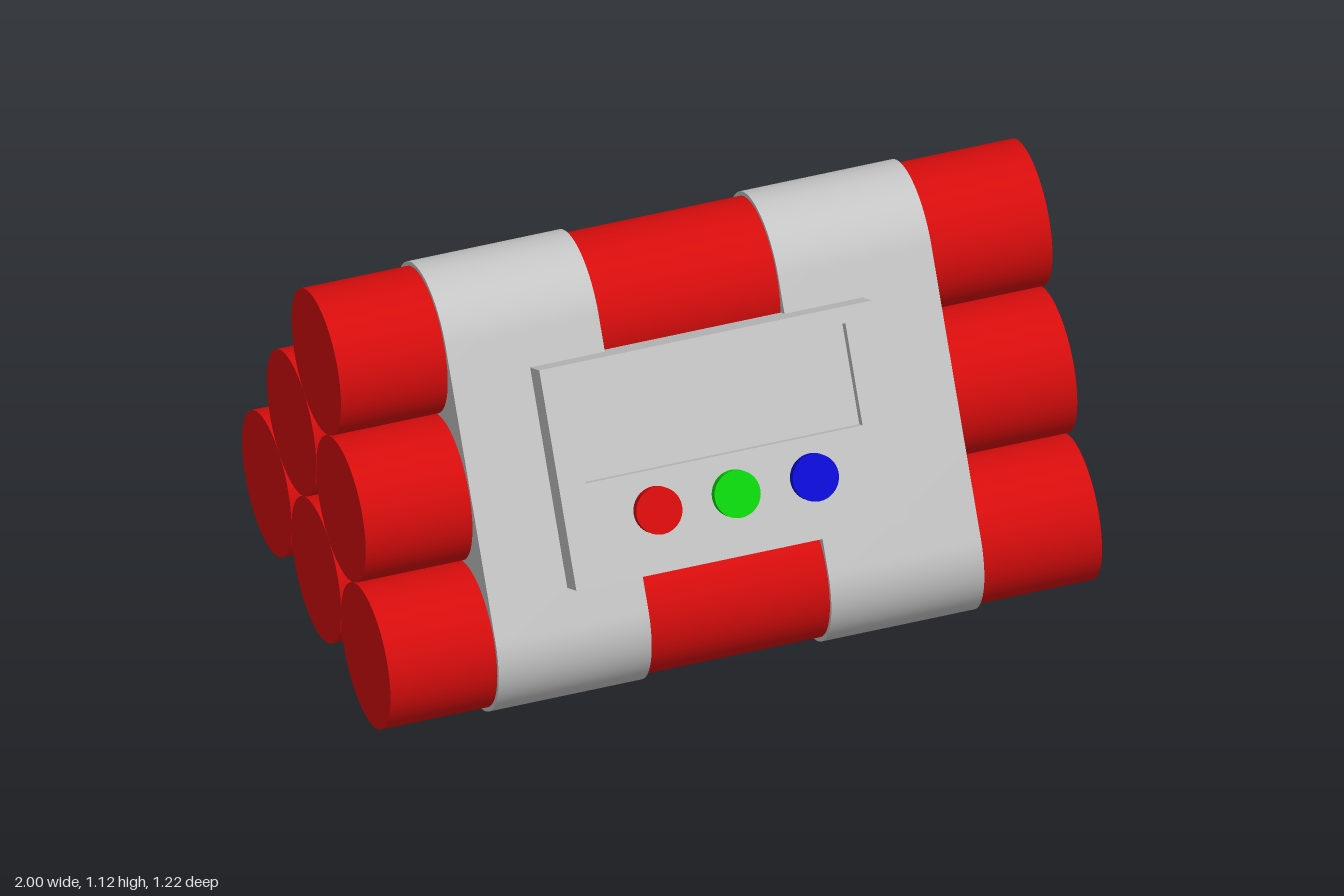
import * as THREE from 'three';
import { toCreasedNormals } from 'three/addons/utils/BufferGeometryUtils.js';

const RADIUS = 0.2;
const BASE_Y = 0.215;
const ROW = RADIUS * Math.sqrt(3);

const grey = new THREE.MeshStandardMaterial({ color: 0xcccccc });
const paint = (color) => new THREE.MeshStandardMaterial({ color });
const red = paint(0xdd0d0d);

function add(parent, name, geometry, material, x = 0, y = 0, z = 0) {
  const mesh = new THREE.Mesh(geometry, material);
  mesh.name = name;
  mesh.position.set(x, y, z);
  parent.add(mesh);
  return mesh;
}

// Rounded triangle wrapped around the three corner tubes
function strapGeometry(width) {
  const r = 0.212;
  const deg = Math.PI / 180;
  const outline = new THREE.Shape();
  outline.absarc(2 * RADIUS, BASE_Y, r, -90 * deg, 30 * deg);
  outline.absarc(0, BASE_Y + 2 * ROW, r, 30 * deg, 150 * deg);
  outline.absarc(-2 * RADIUS, BASE_Y, r, 150 * deg, 270 * deg);
  const geometry = new THREE.ExtrudeGeometry(outline, { depth: width, bevelEnabled: false, curveSegments: 20 });
  geometry.translate(0, 0, -width / 2);
  geometry.rotateY(Math.PI / 2);
  return toCreasedNormals(geometry, 0.5);
}

function rectangle(Type, x0, y0, x1, y1) {
  const path = new Type();
  path.moveTo(x0, y0);
  path.lineTo(x1, y0);
  path.lineTo(x1, y1);
  path.lineTo(x0, y1);
  path.closePath();
  return path;
}

// Panel box lying on the sloping front; local z = 0 is its outer face
function createPanel() {
  const panel = new THREE.Group();
  panel.name = 'controlPanel';
  const halfW = 0.4675, halfH = 0.3, thickness = 0.12, recess = 0.03;

  add(panel, 'panelBack', new THREE.BoxGeometry(2 * halfW, 2 * halfH, thickness - recess), grey,
    0, 0, -(thickness + recess) / 2);

  // Front plate with the sunken display window
  const plate = rectangle(THREE.Shape, -halfW, -halfH, halfW, halfH);
  plate.holes.push(rectangle(THREE.Path, -0.395, -0.023, 0.385, 0.255));
  add(panel, 'panelFront', new THREE.ExtrudeGeometry(plate, { depth: recess, bevelEnabled: false }), grey,
    0, 0, -recess);

  // Row of round buttons
  const button = new THREE.CylinderGeometry(0.064, 0.064, 0.036, 40);
  button.rotateX(Math.PI / 2);
  const buttons = [['redButton', 0xdd0d0d], ['greenButton', 0x0ddd0d], ['blueButton', 0x0d0ddd]];
  buttons.forEach(([name, color], i) => {
    add(panel, name, button, paint(color), -0.213 + i * 0.22, -0.131, 0.009);
  });

  panel.position.set(-0.0125, 0.71, 0.457);
  panel.rotation.x = -Math.PI / 6;
  return panel;
}

export function createModel() {
  const model = new THREE.Group();
  model.name = 'tubeBundle';

  // Pyramid of six tubes: rows of three, two and one
  const tube = new THREE.CylinderGeometry(RADIUS, RADIUS, 2, 64);
  tube.rotateZ(Math.PI / 2);
  for (let row = 0; row < 3; row++) {
    const count = 3 - row;
    for (let i = 0; i < count; i++) {
      const z = (i - (count - 1) / 2) * 2 * RADIUS;
      add(model, 'tube', tube, red, 0, BASE_Y + row * ROW, z);
    }
  }

  // Two wide straps
  const strap = strapGeometry(0.43);
  add(model, 'rightStrap', strap, grey, -0.485);
  add(model, 'leftStrap', strap, grey, 0.45);

  model.add(createPanel());
  return model;
}
